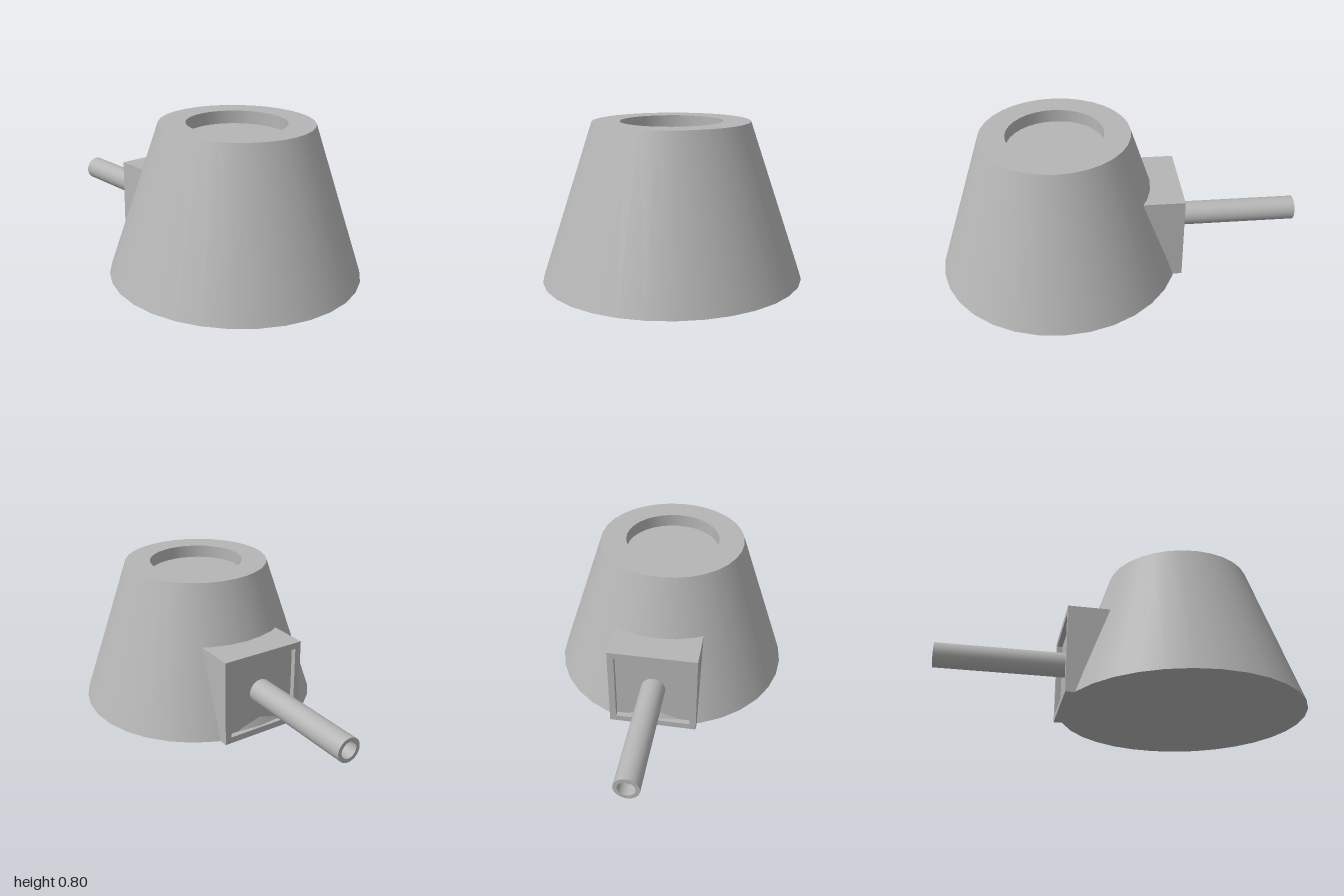
import * as THREE from 'three';
import { mergeGeometries } from 'three/addons/utils/BufferGeometryUtils.js';

// Revolve a profile, one lathe per segment so its corners stay sharp
function turned(profile, sides) {
  const pts = profile.map(([r, y]) => new THREE.Vector2(r, y));
  return mergeGeometries(pts.slice(1).map((p, i) => new THREE.LatheGeometry([pts[i], p], sides)));
}

export function createModel() {
  const group = new THREE.Group();
  const grey = new THREE.MeshStandardMaterial({ color: 0xb5b5b5 });
  grey.name = 'plain grey';

  const add = (name, geometry, x = 0, y = 0, z = 0) => {
    const mesh = new THREE.Mesh(geometry, grey);
    mesh.name = name;
    mesh.position.set(x, y, z);
    group.add(mesh);
    return mesh;
  };

  // Conical body with a round recess in its top
  add('turretBody', turned([
    [0, 0], [0.665, 0], [0.4, 0.8], [0.26, 0.8], [0.26, 0.73], [0, 0.73],
  ], 32), 0, 0, 0.335);

  // Block growing out of the back of the cone
  const half = 0.24, lip = 0.035, depth = 0.03, face = -0.333;
  const blockBack = -0.09, blockFront = face + depth;
  add('mountBlock', new THREE.BoxGeometry(half * 2, half * 2, blockBack - blockFront),
    0, half, (blockBack + blockFront) / 2);

  // Raised square rim around the sunken panel
  const square = (Type, s) => {
    const path = new Type();
    path.moveTo(-s, -s);
    path.lineTo(s, -s);
    path.lineTo(s, s);
    path.lineTo(-s, s);
    path.closePath();
    return path;
  };
  const rim = square(THREE.Shape, half);
  rim.holes.push(square(THREE.Path, half - lip));
  add('mountRim', new THREE.ExtrudeGeometry(rim, { depth, bevelEnabled: false }), 0, half, face);

  // Barrel with a shallow bore at the muzzle
  const length = 1 + blockFront;
  const barrel = turned([
    [0.066, 0], [0.066, length], [0.045, length], [0.045, length - 0.067], [0, length - 0.067],
  ], 32);
  barrel.rotateX(-Math.PI / 2);
  add('barrel', barrel, 0, 0.243, blockFront);

  return group;
}
